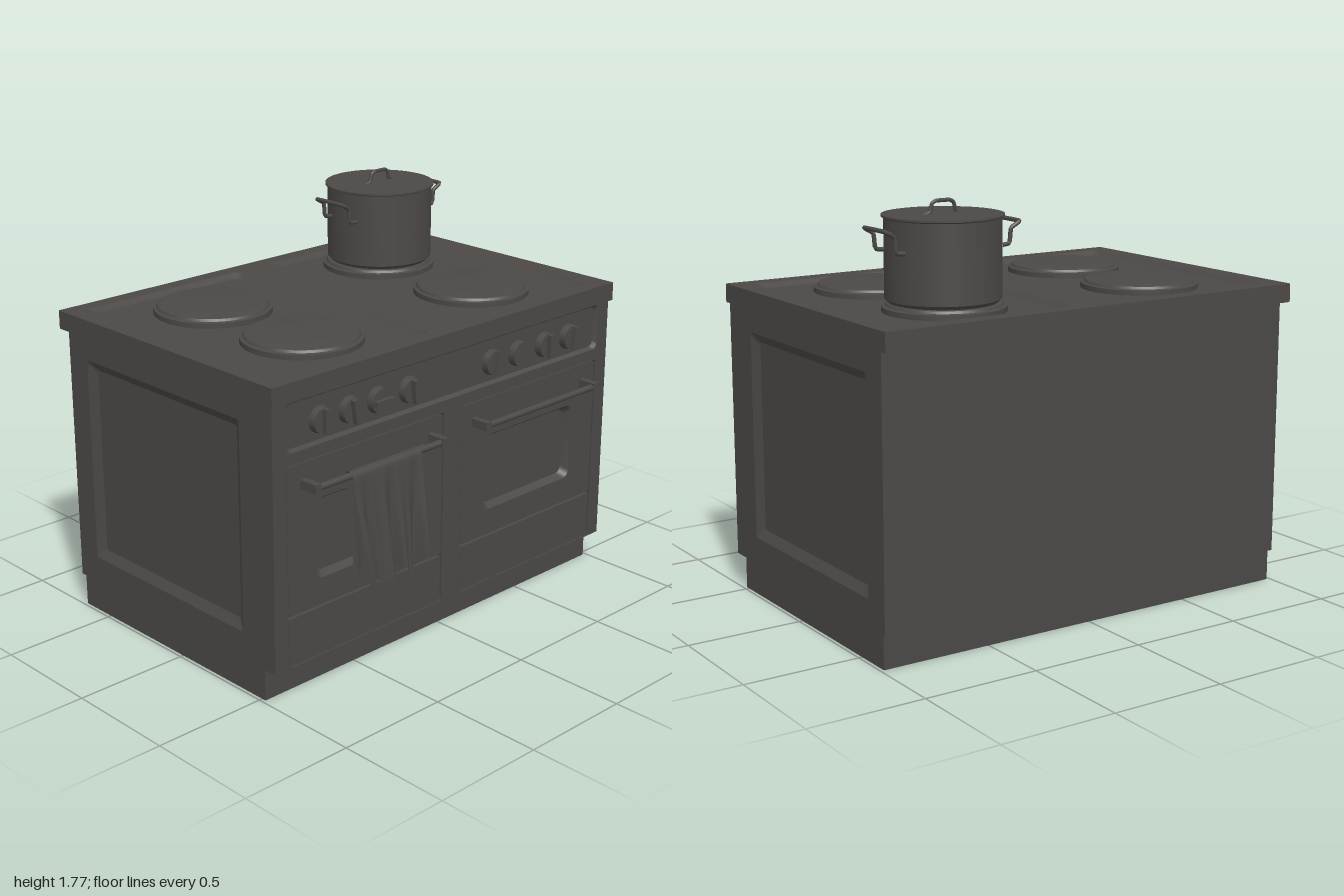
import * as THREE from 'three';
import { toCreasedNormals } from 'three/addons/utils/BufferGeometryUtils.js';

const enamel = new THREE.MeshStandardMaterial({ color: 0x4b4846 });
enamel.name = 'charcoal enamel';
const cloth = enamel.clone();
cloth.name = 'charcoal cloth';
cloth.side = THREE.DoubleSide;

function add(parent, name, geo, x = 0, y = 0, z = 0, mat = enamel) {
  const m = new THREE.Mesh(geo, mat);
  m.name = name;
  m.position.set(x, y, z);
  parent.add(m);
  return m;
}

// Box given by its limits
function block(parent, name, x0, x1, y0, y1, z0, z1) {
  return add(parent, name, new THREE.BoxGeometry(x1 - x0, y1 - y0, z1 - z0), (x0 + x1) / 2, (y0 + y1) / 2, (z0 + z1) / 2);
}

// Counter-clockwise outline of a rounded rectangle, always 24 points
function outline([x0, x1, y0, y1], r) {
  const pts = [];
  [[x1 - r, y1 - r], [x0 + r, y1 - r], [x0 + r, y0 + r], [x1 - r, y0 + r]].forEach(([cx, cy], q) => {
    for (let i = 0; i < 6; i++) {
      const a = (q + i / 5) * Math.PI / 2;
      pts.push(new THREE.Vector2(cx + r * Math.cos(a), cy + r * Math.sin(a)));
    }
  });
  return pts;
}

// Plate facing +z with its face at z = 0; holes with a depth get sloped walls and a floor
function plate(name, rect, t, r, holes = []) {
  const g = new THREE.Group();
  g.name = name;
  const shape = new THREE.Shape(outline(rect, r));
  holes.forEach(h => shape.holes.push(new THREE.Path(outline(h.rect, h.r).reverse())));
  const geo = new THREE.ExtrudeGeometry(shape, { depth: t, bevelEnabled: false });
  add(g, name + 'Face', geo, 0, 0, -t);
  for (const h of holes) {
    if (!h.depth) continue;
    const [x0, x1, y0, y1] = h.rect, s = h.slope;
    const a = outline(h.rect, h.r), b = outline([x0 + s, x1 - s, y0 + s, y1 - s], h.r);
    const pos = [];
    a.forEach((p, i) => {
      const j = (i + 1) % a.length, q = a[j], u = b[i], v = b[j], d = -h.depth;
      pos.push(p.x, p.y, 0, q.x, q.y, 0, u.x, u.y, d, q.x, q.y, 0, v.x, v.y, d, u.x, u.y, d);
    });
    const wall = new THREE.BufferGeometry();
    wall.setAttribute('position', new THREE.Float32BufferAttribute(pos, 3));
    wall.computeVertexNormals();
    add(g, name + 'RecessWall', toCreasedNormals(wall, 0.6));
    add(g, name + 'RecessFloor', new THREE.ShapeGeometry(new THREE.Shape(b)), 0, 0, -h.depth);
  }
  return g;
}

function lathe(points, seg = 48) {
  const geo = new THREE.LatheGeometry(points.map(p => new THREE.Vector2(...p)), seg);
  return toCreasedNormals(geo, 0.6);
}

function tube(points, r) {
  const curve = new THREE.CatmullRomCurve3(points.map(p => new THREE.Vector3(...p)), false, 'catmullrom', 0.2);
  return new THREE.TubeGeometry(curve, 40, r, 8);
}

function makeKnob(x, angle) {
  const g = new THREE.Group();
  g.name = 'knob';
  add(g, 'knobDial', new THREE.CylinderGeometry(0.052, 0.056, 0.03, 28).rotateX(Math.PI / 2), 0, 0, 0.015);
  add(g, 'knobGrip', new THREE.BoxGeometry(0.022, 0.1, 0.025), 0, 0, 0.04);
  g.position.set(x, 1.145, 0.575);
  g.rotation.z = angle;
  return g;
}

function makePot() {
  const g = new THREE.Group();
  g.name = 'pot';
  add(g, 'potBody', lathe([[0, 0], [0.22, 0], [0.235, 0.015], [0.235, 0.335], [0.245, 0.34], [0.245, 0.348], [0.225, 0.348], [0, 0.352]]));
  add(g, 'lidHandle', tube([[-0.09, 0.345, 0], [-0.06, 0.355, 0], [-0.05, 0.39, 0], [-0.03, 0.4, 0], [0.03, 0.4, 0], [0.05, 0.39, 0], [0.06, 0.355, 0], [0.09, 0.345, 0]], 0.008));
  for (const s of [-1, 1]) {
    const half = [[0.225, 0.215], [0.262, 0.22], [0.27, 0.28], [0.31, 0.305]];
    const path = [...half.map(([x, y]) => [s * x, y, 0.08]), ...half.reverse().map(([x, y]) => [s * x, y, -0.08])];
    add(g, 'potHandle', tube(path, 0.009));
  }
  g.position.set(0.515, 1.358, -0.37);
  return g;
}

// Cloth hung over the rail: front flap, fold, back flap
function makeTowel() {
  const geo = new THREE.PlaneGeometry(1, 1, 40, 44);
  const p = geo.attributes.position;
  for (let i = 0; i < p.count; i++) {
    const u = p.getX(i) + 0.5, v = p.getY(i) + 0.5;
    const front = v > 0.5, d = Math.abs(v - 0.5) * 2;
    const turn = Math.min(d / 0.08, 1) * Math.PI / 2;
    const drop = Math.max(0, (d - 0.08) / 0.92);
    const wave = Math.sin(u * 19 + 1) * 0.6 + Math.sin(u * 33) * 0.4;
    const ragged = 0.025 * Math.sin(u * 14) * drop;
    const y = 0.908 + 0.022 * Math.cos(turn) - drop * 0.47 + ragged;
    const z = front ? 0.655 + 0.022 * Math.sin(turn) + drop * (0.02 + 0.04 * wave)
      : 0.655 - 0.022 * Math.sin(turn) - drop * (0.015 - 0.012 * wave);
    const x = front ? -0.655 + 0.06 * drop + u * (0.38 - 0.06 * drop) : -0.655 + 0.06 * drop + u * (0.42 - 0.06 * drop);
    p.setXYZ(i, x, y, z);
  }
  geo.computeVertexNormals();
  return geo;
}

export function createModel() {
  const model = new THREE.Group();
  model.name = 'rangeCooker';

  // Carcass
  block(model, 'plinth', -0.985, 0.985, 0, 0.14, -0.67, 0.52);
  block(model, 'carcass', -0.95, 0.95, 0.14, 1.26, -0.69, 0.55);

  // Side walls with sunken panels
  for (const s of [-1, 1]) {
    const rect = s > 0 ? [-0.59, 0.69, 0.14, 1.26] : [-0.69, 0.59, 0.14, 1.26];
    const hole = s > 0 ? [-0.4, 0.57, 0.26, 1.16] : [-0.57, 0.4, 0.26, 1.16];
    const side = plate('sideWall', rect, 0.04, 0.001, [{ rect: hole, r: 0.012, depth: 0.025, slope: 0.04 }]);
    side.rotation.y = s * Math.PI / 2;
    side.position.x = s * 0.99;
    model.add(side);
  }

  // Front frame with control panel and oven openings
  const frame = plate('frontFrame', [-0.95, 0.95, 0.14, 1.26], 0.04, 0.001, [
    { rect: [-0.92, 0.92, 1.05, 1.255], r: 0.025, depth: 0.015, slope: 0.012 },
    { rect: [-0.92, -0.055, 0.145, 1], r: 0.015 },
    { rect: [0.055, 0.92, 0.145, 1], r: 0.015 },
  ]);
  frame.position.z = 0.59;
  model.add(frame);

  // Oven doors, drawers and rails
  for (const s of [-1, 1]) {
    const span = (a, b) => s > 0 ? [a, b] : [-b, -a];
    const door = plate('ovenDoor', [...span(0.06, 0.915), 0.365, 0.995], 0.037, 0.015, [
      { rect: [...span(0.205, 0.765), 0.48, 0.825], r: 0.035, depth: 0.03, slope: 0.02 },
    ]);
    door.position.z = 0.587;
    model.add(door);
    const drawer = plate('drawer', [...span(0.06, 0.915), 0.147, 0.355], 0.037, 0.006);
    drawer.position.z = 0.587;
    model.add(drawer);
    add(model, 'doorRail', new THREE.CylinderGeometry(0.014, 0.014, 0.71, 16).rotateZ(Math.PI / 2), s * 0.48, 0.908, 0.655);
    for (const x of [0.13, 0.83]) {
      block(model, 'railBracket', s * x - 0.015, s * x + 0.015, 0.89, 0.928, 0.58, 0.672);
    }
  }
  add(model, 'towel', makeTowel(), 0, 0, 0, cloth);

  // Control knobs
  [[-0.735, 0], [-0.58, 0.15], [-0.425, 1.57], [-0.25, 0.1], [0.24, -0.2], [0.405, 1.2], [0.575, 0], [0.735, -0.1]]
    .forEach(([x, a]) => model.add(makeKnob(x, a)));

  // Worktop with two sunken hob trays
  block(model, 'worktopBase', -1, 1, 1.26, 1.31, -0.74, 0.605);
  const top = plate('worktop', [-1, 1, -0.605, 0.74], 0.03, 0.001, [
    { rect: [-0.92, -0.08, -0.53, 0.67], r: 0.04, depth: 0.02, slope: 0.025 },
    { rect: [0.09, 0.92, -0.53, 0.67], r: 0.04, depth: 0.02, slope: 0.025 },
  ]);
  top.rotation.x = -Math.PI / 2;
  top.position.y = 1.34;
  model.add(top);

  // Hot plates
  for (const [x, z] of [[-0.495, -0.34], [-0.495, 0.215], [0.51, -0.37], [0.5, 0.215]]) {
    add(model, 'hotPlate', lathe([[0.252, 0], [0.252, 0.022], [0.238, 0.025], [0.232, 0.035], [0.215, 0.037], [0, 0.035]]), x, 1.32, z);
  }
  model.add(makePot());
  return model;
}
